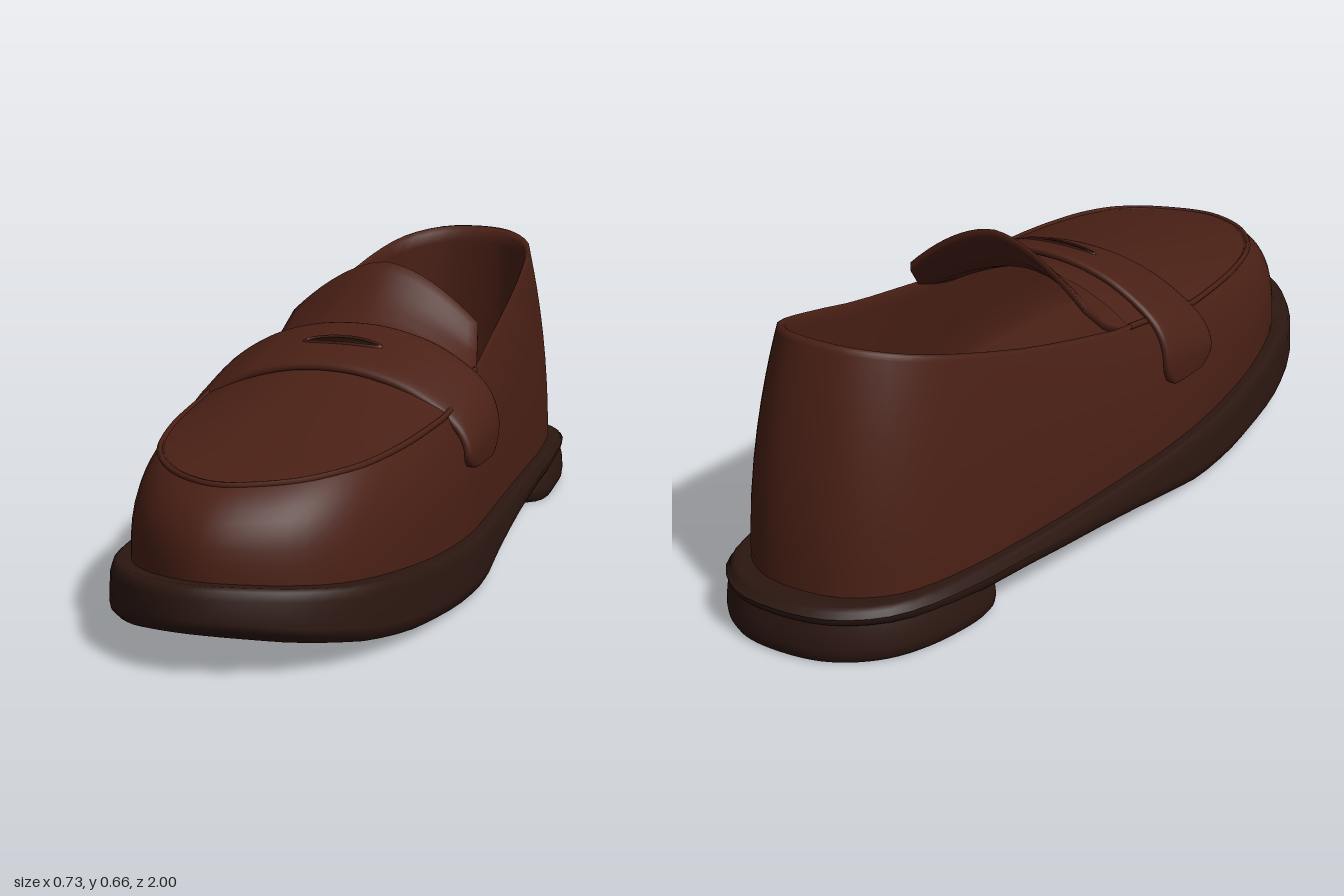
import * as THREE from 'three';

const leather = new THREE.MeshStandardMaterial({ color: 0x4a2015, side: THREE.DoubleSide });
const rubber = new THREE.MeshStandardMaterial({ color: 0x2c1711, side: THREE.DoubleSide });
const dark = new THREE.MeshStandardMaterial({ color: 0x1c0b07 });
const { lerp, clamp } = THREE.MathUtils;

// Smooth lookup of y at z in a short [z, y] list with falling z
function at(z, list) {
  if (z >= list[0][0]) return list[0][1];
  for (let i = 1; i < list.length; i++) {
    const [z0, y0] = list[i - 1], [z1, y1] = list[i];
    if (z >= z1) return lerp(y0, y1, (z - z0) / (z1 - z0));
  }
  return list[list.length - 1][1];
}

// Skin a list of equal-length rows of [x, y, z]
function loft(rows, closed = true) {
  const n = rows[0].length, index = [];
  for (let i = 0; i < rows.length - 1; i++) {
    for (let j = 0; j < (closed ? n : n - 1); j++) {
      const a = i * n + j, b = i * n + (j + 1) % n;
      index.push(a, b, b + n, a, b + n, a + n);
    }
  }
  const g = new THREE.BufferGeometry();
  g.setAttribute('position', new THREE.Float32BufferAttribute(rows.flat(2), 3));
  g.setIndex(index);
  g.computeVertexNormals();
  return g;
}

// Closed plan outline from [z, left x, right x], front to back
function outline(front, back, sides) {
  const v = (x, z) => new THREE.Vector3(x, 0, z);
  return new THREE.CatmullRomCurve3([
    v(0, front), ...sides.map(([z, l]) => v(l, z)),
    v(0, back), ...sides.slice().reverse().map(([z, , r]) => v(r, z)),
  ], true);
}

const SEG = 72;
const ring = (fn) => Array.from({ length: SEG }, (_, j) => fn(j / SEG));

const plan = outline(1, -1, [
  [0.97, 0.11, -0.1], [0.9, 0.22, -0.19], [0.78, 0.3, -0.27], [0.6, 0.345, -0.325],
  [0.4, 0.362, -0.355], [0.2, 0.362, -0.37], [0, 0.335, -0.365], [-0.4, 0.285, -0.335],
  [-0.75, 0.24, -0.28], [-0.9, 0.2, -0.22], [-0.98, 0.11, -0.12],
]);
const soleTop = (z) => at(z, [[1, 0.195], [0.8, 0.168], [0.4, 0.135], [0, 0.122], [-1, 0.12]]);
const soleBottom = (z) => at(z, [[1, 0.095], [0.9, 0.07], [0.75, 0.042], [0.6, 0.024], [0.35, 0.01],
  [0.15, 0.012], [0, 0.03], [-0.2, 0.054], [-0.5, 0.07], [-1, 0.075]]);
const rimY = (z) => at(z, [[0.83, 0.362], [0.7, 0.375], [0.25, 0.4], [0, 0.44], [-0.1, 0.453],
  [-0.4, 0.52], [-0.83, 0.64]]);

function sole() {
  const layer = (s, yFn) => ring((t) => {
    const p = plan.getPoint(t);
    return [p.x * s, yFn(p.z * s), p.z * s];
  });
  return loft([
    layer(0, soleBottom), layer(0.35, soleBottom), layer(0.7, soleBottom), layer(0.95, soleBottom),
    layer(0.97, soleBottom),
    layer(0.995, (z) => soleBottom(z) + 0.015), layer(1, (z) => soleBottom(z) + 0.03),
    layer(0.995, (z) => soleTop(z) - 0.025), layer(0.985, (z) => soleTop(z) - 0.006),
    layer(0.97, soleTop), layer(0.95, soleTop), layer(0.85, soleTop),
  ]);
}

function heel() {
  const c = outline(-0.53, -1, [[-0.54, 0.14, -0.17], [-0.59, 0.24, -0.28], [-0.75, 0.24, -0.28],
    [-0.9, 0.2, -0.22], [-0.98, 0.11, -0.12]]);
  const layer = (s, y) => ring((t) => {
    const p = c.getPoint(t);
    return [p.x * s, y, -0.76 + (p.z + 0.76) * s];
  });
  return loft([layer(0, 0), layer(0.93, 0), layer(0.96, 0), layer(0.99, 0.012),
    layer(1, 0.03), layer(0.99, 0.062), layer(0.96, 0.09)]);
}

// Point on the top edge of the upper
function rim(t, inset = 0, dy = 0) {
  const p = plan.getPoint(t);
  const z = p.z * (0.83 - inset);
  return [p.x * (0.78 - inset), rimY(z) + dy, z];
}

function upper() {
  const wall = (v) => ring((t) => {
    const p = plan.getPoint(t), top = rim(t);
    const front = clamp((p.z + 1) / 2, 0, 1);
    const e = Math.pow(v, lerp(2, 3.5, front));
    const z = lerp(p.z * 0.93, top[2], e);
    return [lerp(p.x * 0.905, top[0], e), lerp(soleTop(p.z) - 0.03, top[1], v), z];
  });
  const inner = (s, y) => ring((t) => {
    const p = plan.getPoint(t);
    return [p.x * s, y, p.z * s];
  });
  return loft([
    ...[0, 0.15, 0.3, 0.45, 0.58, 0.7, 0.8, 0.88, 0.94, 0.98, 1].map(wall),
    ring((t) => rim(t, 0.012, 0.004)), ring((t) => rim(t, 0.025, -0.004)),
    ring((t) => rim(t, 0.028, -0.03)),
    inner(0.82, 0.25), inner(0.85, 0.15), inner(0.8, 0.145), inner(0, 0.145),
  ]);
}

// Domed panel filling the top edge from toe to instep
const END = 7.15 / 24;
function vamp() {
  const rows = [];
  for (let i = 0; i <= 28; i++) {
    const l = rim(END * i / 28), r = rim(1 - END * i / 28), row = [];
    const h = at(l[2], [[0.83, 0], [0.6, 0.022], [0.25, 0.068], [0, 0.09]]);
    for (let j = 0; j <= 24; j++) {
      const u = j / 12 - 1, k = j / 24;
      row.push([lerp(r[0], l[0], k), lerp(r[1], l[1], k) + h * (1 - Math.pow(Math.abs(u), 2.2)), lerp(r[2], l[2], k)]);
    }
    rows.push(row);
  }
  return loft(rows, false);
}

// Raised seam around the vamp
function seam() {
  const pts = [];
  for (let i = -30; i <= 30; i++) {
    pts.push(new THREE.Vector3(...rim((1 + END * i / 30) % 1, 0.002, 0)));
  }
  return new THREE.TubeGeometry(new THREE.CatmullRomCurve3(pts), 90, 0.007, 6);
}

function tongue() {
  const rows = [], N = 20;
  for (let i = 0; i <= 13; i++) {
    const v = Math.min(i, 12) / 12, z = lerp(0.06, -0.16, v), row = [];
    const mid = at(z, [[0.06, 0.51], [-0.03, 0.54], [-0.09, 0.585], [-0.16, 0.658]]);
    const edge = at(z, [[0.06, 0.42], [-0.04, 0.44], [-0.1, 0.47], [-0.16, 0.53]]);
    const w = at(z, [[0.06, 0.26], [-0.04, 0.265], [-0.16, 0.228]]);
    const put = (u, dy) => row.push([u * w - 0.005, lerp(mid, edge, Math.pow(Math.abs(u), 1.7)) + dy, z]);
    for (let j = 0; j <= N; j++) put(2 * j / N - 1, i > 12 ? -0.01 : 0);
    for (let j = N; j >= 0; j--) put(2 * j / N - 1, i > 12 ? -0.01 : -0.02);
    rows.push(row);
  }
  return loft(rows);
}

// Band across the instep with rounded tabs at both sides
function strap() {
  const half = [[0.328, 0.275], [0.328, 0.36], [0.3, 0.42], [0.2, 0.49], [0.1, 0.523]];
  const path = new THREE.CatmullRomCurve3([
    ...half.map(([x, y]) => new THREE.Vector3(-x - 0.008, y, 0)), new THREE.Vector3(0, 0.533, 0),
    ...half.slice().reverse().map(([x, y]) => new THREE.Vector3(x, y, 0)),
  ]);
  const bulge = (a) => Math.sign(a) * Math.pow(Math.abs(a), 0.55);
  const rows = [];
  for (let i = 0; i <= 80; i++) {
    const s = -Math.cos(Math.PI * i / 80);
    const p = path.getPoint((s + 1) / 2), g = path.getTangent((s + 1) / 2);
    const d = clamp((Math.abs(s) - 0.85) / 0.15, 0, 1), f = Math.sqrt(1 - d * d);
    const w = 0.104 * lerp(0.35, 1, f), th = 0.013 * Math.min(1, f * 2);
    const row = [];
    for (let j = 0; j < 20; j++) {
      const a = 2 * Math.PI * j / 20, z = -bulge(Math.cos(a)) * w, n = bulge(Math.sin(a)) * th;
      row.push([p.x - g.y * n, p.y + g.x * n - 0.28 * (z + 0.07) * (1 - s ** 4), z + 0.125]);
    }
    rows.push(row);
  }
  return loft(rows);
}

// Bend a flat shape over the strap at its middle
function onStrap(g) {
  const p = g.attributes.position;
  for (let i = 0; i < p.count; i++) {
    const x = p.getX(i), z = p.getZ(i);
    p.setXYZ(i, x, p.getY(i) + 0.526 - x * x - 0.28 * z, z + 0.125);
  }
  g.computeVertexNormals();
  return g;
}

export function createModel() {
  const group = new THREE.Group();
  const add = (name, geometry, material) => {
    const m = new THREE.Mesh(geometry, material);
    m.name = name;
    group.add(m);
  };
  add('sole', sole(), rubber);
  add('heel', heel(), rubber);
  add('upper', upper(), leather);
  add('vamp', vamp(), leather);
  add('vampSeam', seam(), leather);
  add('tongue', tongue(), leather);
  add('strap', strap(), leather);
  add('strapSlot', onStrap(new THREE.SphereGeometry(1, 24, 10).scale(0.085, 0.005, 0.012)), dark);
  add('slotEdge', onStrap(new THREE.TorusGeometry(0.09, 0.006, 8, 32).rotateX(Math.PI / 2).scale(1, 1, 0.17)), leather);
  return group;
}
